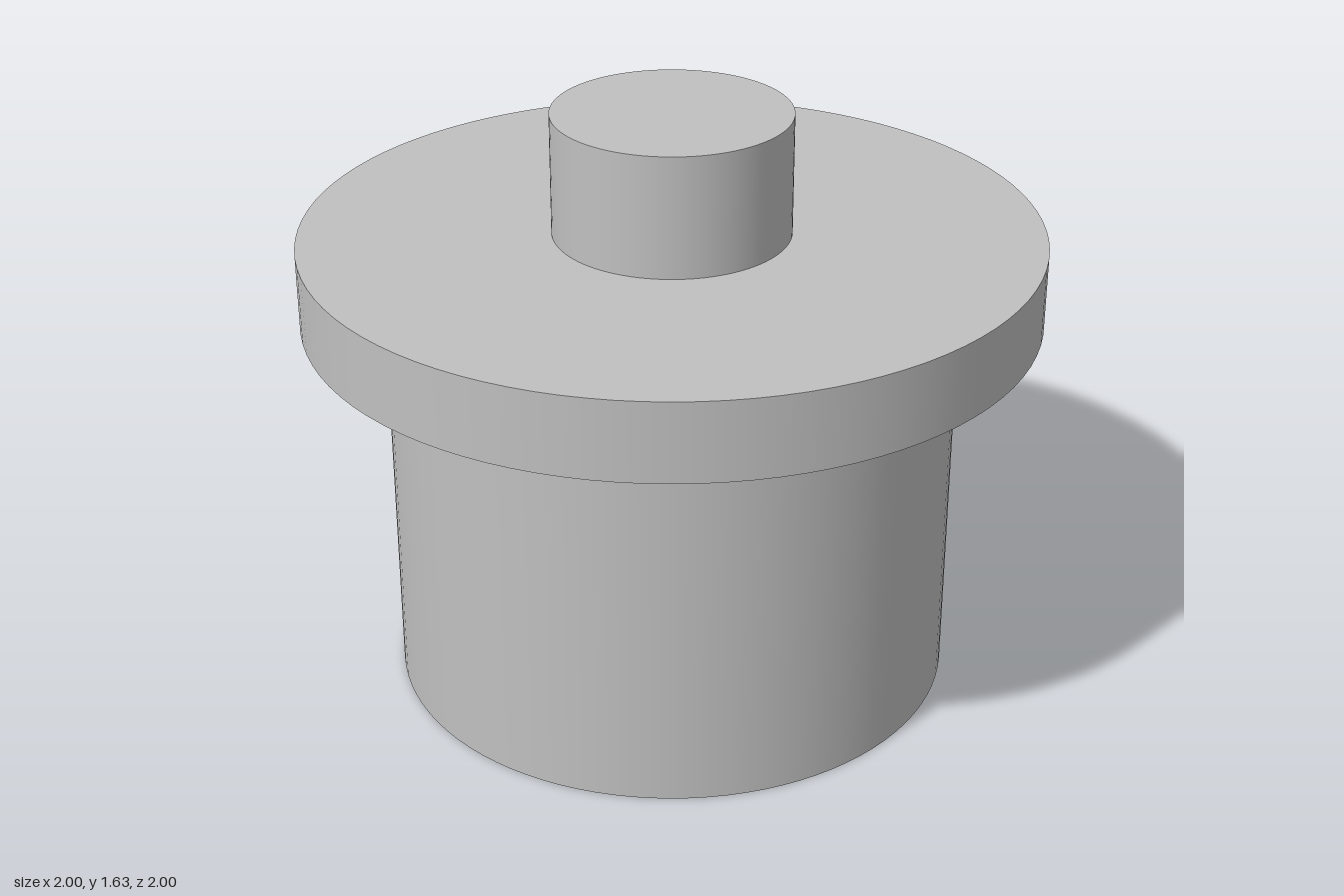
import * as THREE from 'three';

export function createModel() {
  const group = new THREE.Group();
  group.name = 'flangedPlug';
  const grey = new THREE.MeshStandardMaterial({ color: 0xc0c0c0 });
  grey.name = 'plain grey';

  // Upright cylinder spanning bottom to top
  const addDisc = (name, radius, bottom, top) => {
    const mesh = new THREE.Mesh(
      new THREE.CylinderGeometry(radius, radius, top - bottom, 96), grey);
    mesh.name = name;
    mesh.position.y = (bottom + top) / 2;
    group.add(mesh);
  };

  addDisc('body', 0.775, 0, 1.075);
  addDisc('flange', 1, 1.075, 1.292);
  addDisc('knob', 0.322, 1.292, 1.627);

  return group;
}
